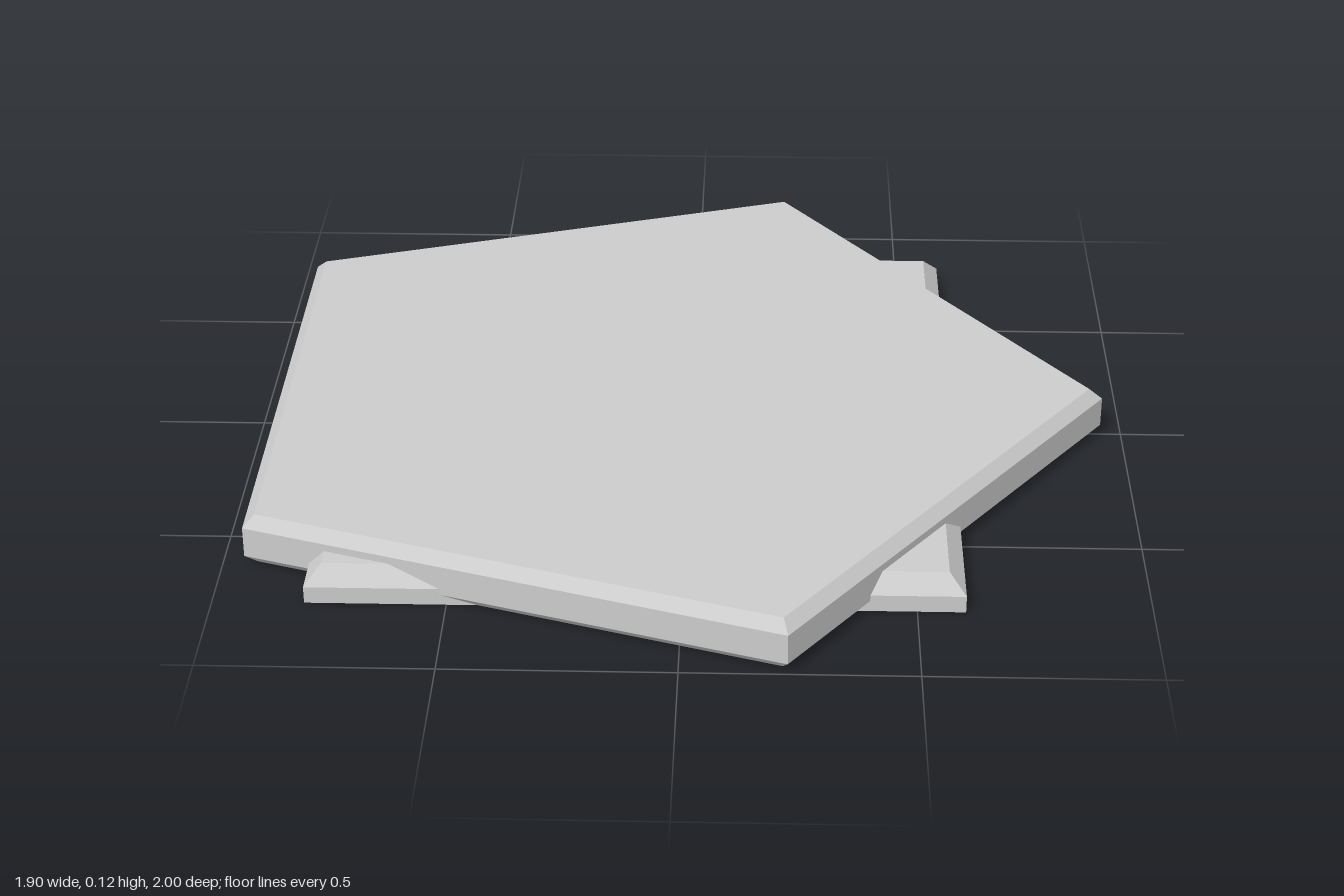
import * as THREE from 'three';

const CENTER_X = -0.1;

// Give every face its own flat normal
function faceted(geometry) {
  const flat = geometry.toNonIndexed();
  flat.computeVertexNormals();
  return flat;
}

// Five-sided slab with chamfered top and bottom rims
function pentagonSlab(radius, height, chamfer) {
  const inner = radius - chamfer / Math.cos(Math.PI / 5);
  const profile = [
    [0, 0], [inner, 0], [radius, chamfer],
    [radius, height - chamfer], [inner, height], [0, height],
  ].map(([r, y]) => new THREE.Vector2(r, y));
  return faceted(new THREE.LatheGeometry(profile, 5, Math.PI / 2));
}

// Rectangular plate whose upper half slopes inward
function chamferedPlate(width, height, depth, inset) {
  const geometry = new THREE.BoxGeometry(width, height, depth, 1, 2, 1);
  const pos = geometry.attributes.position;
  for (let i = 0; i < pos.count; i++) {
    if (pos.getY(i) < height / 4) continue;
    pos.setX(i, pos.getX(i) - Math.sign(pos.getX(i)) * inset);
    pos.setZ(i, pos.getZ(i) - Math.sign(pos.getZ(i)) * inset);
  }
  geometry.translate(0, height / 2, 0);
  return faceted(geometry);
}

export function createModel() {
  const model = new THREE.Group();
  const material = new THREE.MeshStandardMaterial({ color: 0xcccccc, flatShading: true });

  const add = (name, geometry) => {
    const mesh = new THREE.Mesh(geometry, material);
    mesh.name = name;
    mesh.position.x = CENTER_X;
    model.add(mesh);
  };

  // Main slab, one corner pointing to +x
  add('pentagonSlab', pentagonSlab(1.0515, 0.12, 0.025));
  // Lower plate, its corners showing past the slab's edges
  add('basePlate', chamferedPlate(1.406, 0.078, 1.52, 0.036));

  return model;
}
